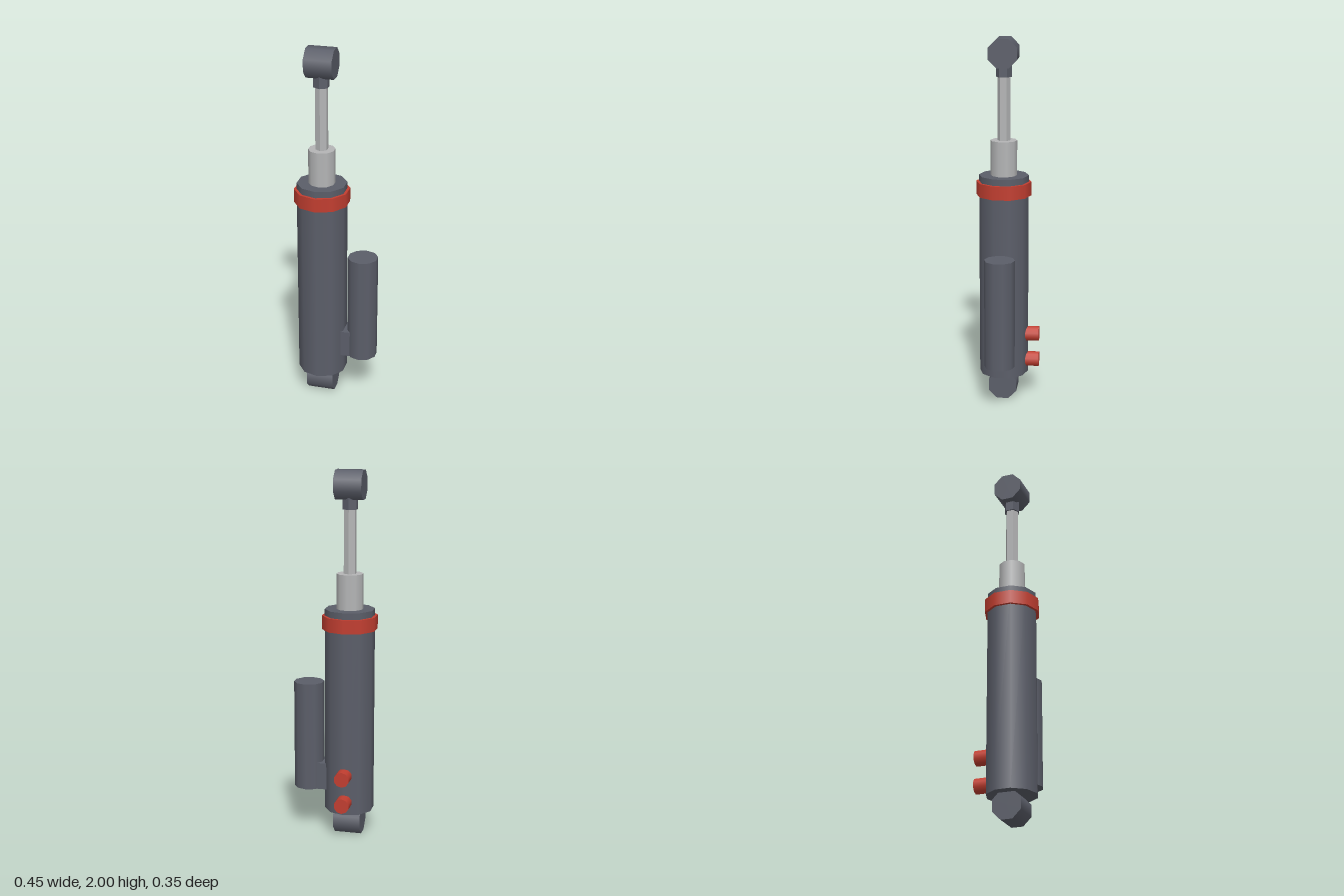
import * as THREE from 'three';

const AX = -0.082, AZ = 0.0215; // main axis of the damper

export function createModel() {
  const model = new THREE.Group();
  const material = (name, color) => {
    const m = new THREE.MeshStandardMaterial({ color });
    m.name = name;
    return m;
  };
  const steel = material('dark steel', 0x5b5e69);
  const red = material('red', 0xc23e30);
  const chrome = material('light grey', 0xb4b5b6);

  const add = (name, geometry, mat, x, y, z) => {
    const mesh = new THREE.Mesh(geometry, mat);
    mesh.name = name;
    mesh.position.set(x, y, z);
    model.add(mesh);
    return mesh;
  };
  // Upright prism between two heights
  const upright = (name, r, y0, y1, sides, mat, x = AX) =>
    add(name, new THREE.CylinderGeometry(r, r, y1 - y0, sides), mat, x, (y0 + y1) / 2, AZ);

  // Main stack along the axis
  upright('body', 0.135, 0.14, 1.265, 10, steel);
  upright('collarRing', 0.15, 1.155, 1.23, 10, red);
  upright('rodGuide', 0.072, 1.265, 1.455, 10, chrome);
  const rod = upright('rod', 0.035, 1.45, 1.81, 6, chrome);
  const nut = upright('rodNut', 0.043, 1.795, 1.87, 6, steel);
  for (const part of [rod, nut]) {
    part.geometry = part.geometry.toNonIndexed();
    part.geometry.computeVertexNormals();
  }

  // Octagonal mounting eyes, lying along x with flats up and down
  for (const [name, y] of [['lowerEye', 0.0765], ['upperEye', 1.9235]]) {
    const eye = new THREE.CylinderGeometry(0.0828, 0.0828, 0.15, 8);
    eye.rotateY(Math.PI / 8).rotateZ(Math.PI / 2);
    add(name, eye, steel, AX, y, AZ);
  }

  // Side reservoir and its bracket
  upright('reservoir', 0.0825, 0.25, 0.85, 10, steel, 0.145);
  add('reservoirBracket', new THREE.BoxGeometry(0.088, 0.15, 0.113), steel, 0.044, 0.325, AZ);

  // Adjuster knobs on the back
  for (const [name, y] of [['lowerKnob', 0.213], ['upperKnob', 0.363]]) {
    const knob = new THREE.CylinderGeometry(0.042, 0.042, 0.095, 10).rotateX(-Math.PI / 2);
    add(name, knob, red, AX, y, -0.1275);
  }
  return model;
}
